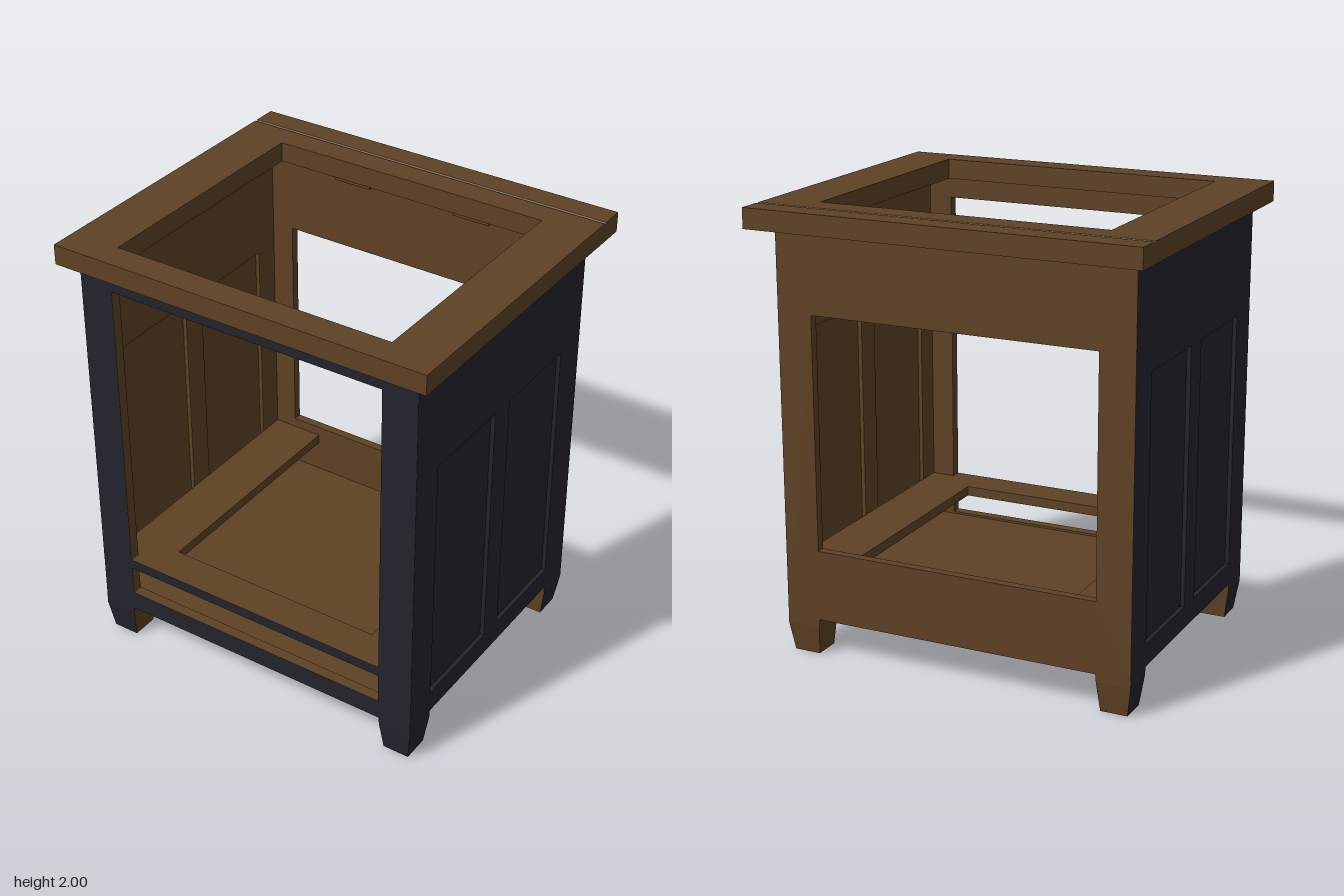
import * as THREE from 'three';

const wood = new THREE.MeshStandardMaterial({ color: 0x5e4223 });
wood.name = 'brown wood';
const paint = new THREE.MeshStandardMaterial({ color: 0x23232e });
paint.name = 'dark paint';

// Carcass limits
const X = 0.813, BACK = -0.63, FRONT = 0.688, BASE = 0.17, TOP = 1.91;
const INNER = 0.76, BACK_IN = -0.59, FRONT_IN = 0.64;

function rectPoints(x0, y0, x1, y1) {
  const a = Math.min(x0, x1), b = Math.max(x0, x1);
  return [[a, y0], [b, y0], [b, y1], [a, y1]].map(p => new THREE.Vector2(...p));
}

// Rectangle with rectangular holes, each given as x0, y0, x1, y1
function frameShape(outer, holes = []) {
  const shape = new THREE.Shape(rectPoints(...outer));
  holes.forEach(h => shape.holes.push(new THREE.Path(rectPoints(...h))));
  return shape;
}

const extrude = (shape, depth) => new THREE.ExtrudeGeometry(shape, { depth, bevelEnabled: false });

function add(parent, name, geometry, material, x = 0, y = 0, z = 0) {
  const mesh = new THREE.Mesh(geometry, material);
  mesh.name = name;
  mesh.position.set(x, y, z);
  parent.add(mesh);
  return mesh;
}

// Box given by its limits
function block(parent, name, x0, x1, y0, y1, z0, z1, material = wood) {
  return add(parent, name, new THREE.BoxGeometry(Math.abs(x1 - x0), y1 - y0, z1 - z0), material,
    (x0 + x1) / 2, (y0 + y1) / 2, (z0 + z1) / 2);
}

// Tapered foot, painted on its outer side and front only
function foot(parent, sx, front) {
  const w = 0.158, sz = front ? 1 : -1;
  const geo = new THREE.BoxGeometry(w, BASE, w, 1, 2, 1).toNonIndexed();
  const p = geo.attributes.position;
  for (let i = 0; i < p.count; i++) {
    const level = p.getY(i) > 0.01 ? BASE : p.getY(i) < -0.01 ? 0 : 0.135;
    const outerInset = level === 0 ? 0.02 : 0;
    const innerInset = 0.016 * (1 - level / BASE);
    const move = (v, s) => v - Math.sign(v) * (Math.sign(v) === s ? outerInset : innerInset);
    p.setXYZ(i, move(p.getX(i), sx), level, move(p.getZ(i), sz));
  }
  geo.computeVertexNormals();
  const mats = [sx > 0 ? paint : wood, sx < 0 ? paint : wood, wood, wood, front ? paint : wood, wood];
  add(parent, 'foot', geo, mats, sx * (X + 0.001 - w / 2), 0,
    front ? FRONT + 0.001 - w / 2 : BACK + w / 2);
}

// Side wall with two recessed panels, painted outside and bare inside
function sideWall(parent, s) {
  const wall = new THREE.Group();
  wall.name = s > 0 ? 'leftSide' : 'rightSide';
  parent.add(wall);
  const holes = [[0.53, 0.085], [-0.03, -0.47]].map(([a, b]) => [-s * a, 0.27, -s * b, 1.435]);
  const between = [-s * BACK_IN, BASE, -s * FRONT_IN, TOP];
  const put = (name, geo, mat, x) => {
    add(wall, name, geo, mat, s * x).rotation.y = s * Math.PI / 2;
  };
  put('paintedFace', new THREE.ShapeGeometry(
    frameShape([-s * BACK, BASE, -s * (FRONT + 0.001), TOP], holes)), paint, X + 0.001);
  put('outerFrame', extrude(frameShape(between, holes), 0.019), paint, X - 0.019);
  put('innerFrame', extrude(frameShape(between, holes), X - 0.019 - INNER), wood, INNER);
  for (const h of holes) {
    put('panel', extrude(frameShape(h), 0.014), wood, 0.779);
    put('panelPaint', new THREE.ShapeGeometry(frameShape(h)), paint, 0.794);
  }
}

export function createModel() {
  const model = new THREE.Group();
  model.name = 'cabinet';

  // Worktop: three-sided front part, and a back board with a fine groove along it
  const top = new THREE.Group();
  top.name = 'worktop';
  model.add(top);
  const u = [[-0.885, 0.52], [-0.885, -0.755], [0.885, -0.755], [0.885, 0.52],
    [0.655, 0.52], [0.655, -0.63], [-0.655, -0.63], [-0.655, 0.52]];
  const uShape = new THREE.Shape(u.map(p => new THREE.Vector2(...p)));
  add(top, 'worktopFrame', extrude(uShape, 0.09), wood, 0, TOP, 0).rotation.x = -Math.PI / 2;
  const profile = [[0.52, TOP], [0.76, TOP], [0.76, 2], [0.652, 2], [0.645, 1.988], [0.638, 2], [0.52, 2]];
  const boardShape = new THREE.Shape(profile.map(p => new THREE.Vector2(...p)));
  add(top, 'worktopBackBoard', extrude(boardShape, 1.77), wood, -0.885).rotation.y = Math.PI / 2;

  // Front frame with door and drawer openings
  const openings = [[-0.655, 0.445, 0.652, 1.82], [-0.655, 0.26, 0.652, 0.4]];
  const frontShape = frameShape([-X, BASE, X, TOP], openings);
  add(model, 'frontFrame', extrude(frontShape, FRONT - FRONT_IN), wood, 0, 0, FRONT_IN);
  add(model, 'frontPaint', new THREE.ShapeGeometry(frontShape), paint, 0, 0, FRONT + 0.001);

  // Back panel with a large opening
  const backShape = frameShape([-X, BASE, X, TOP], [[-0.655, 0.49, 0.652, 1.54]]);
  add(model, 'backPanel', extrude(backShape, BACK_IN - BACK), wood, 0, 0, BACK);

  // Floor and the front rail of the shelf support
  block(model, 'floor', -INNER, INNER, 0.21, 0.25, BACK_IN, FRONT_IN);
  block(model, 'shelfFrontRail', -INNER, INNER, 0.4, 0.445, 0.525, FRONT_IN);

  // Triangular braces under the floor
  const cut = 0.28;
  const corner = new THREE.Shape([[0, 0], [cut, 0], [0, cut]].map(p => new THREE.Vector2(...p)));
  const braceGeo = extrude(corner, 0.035);
  braceGeo.rotateX(-Math.PI / 2);

  for (const s of [-1, 1]) {
    sideWall(model, s);
    block(model, 'shelfSideRail', s * 0.515, s * INNER, 0.4, 0.445, BACK_IN, 0.525);
    block(model, 'topBlock', s * 0.3 - 0.09, s * 0.3 + 0.09, 1.88, TOP, BACK_IN, -0.55);
    for (const front of [true, false]) {
      foot(model, s, front);
      const brace = add(model, 'cornerBrace', braceGeo, wood, s * 0.765, 0.175, front ? 0.645 : -0.595);
      brace.rotation.y = front ? (s < 0 ? 0 : Math.PI / 2) : (s < 0 ? -Math.PI / 2 : Math.PI);
    }
  }
  return model;
}
